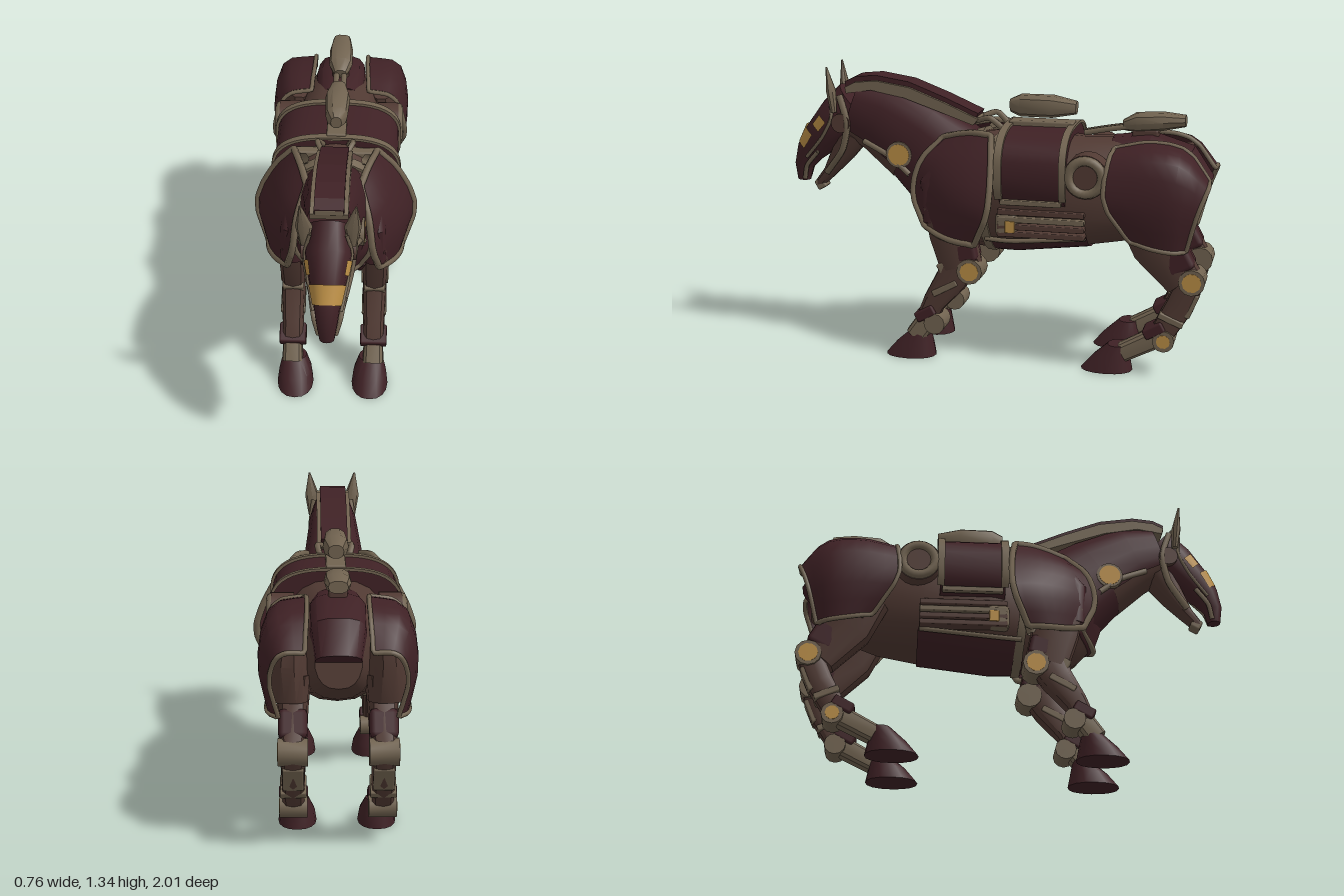
import * as THREE from 'three';
import { toCreasedNormals } from 'three/addons/utils/BufferGeometryUtils.js';
import { RoundedBoxGeometry } from 'three/addons/geometries/RoundedBoxGeometry.js';

const V = (p) => new THREE.Vector3(...p);
function paint(name, color) {
  const m = new THREE.MeshStandardMaterial({ color, side: THREE.DoubleSide });
  m.name = name;
  return m;
}

export function createModel() {
  const horse = new THREE.Group();
  horse.name = 'mechanicalHorse';
  const maroon = paint('darkMaroon', 0x3f2125), tan = paint('dullTan', 0x716350);
  const brown = paint('darkBrown', 0x513a33), gold = paint('gold', 0xb98d45);

  function add(name, geo, mat) {
    const mesh = new THREE.Mesh(geo, mat);
    mesh.name = name;
    horse.add(mesh);
  }
  // Adds a part and its copy across x = 0, with corner order reversed
  function pair(name, geo, mat) {
    add(name + 'Left', geo, mat);
    const g = (geo.index ? geo.toNonIndexed() : geo.clone()).scale(-1, 1, 1);
    for (const key of ['position', 'normal']) {
      const a = g.attributes[key].array;
      for (let i = 0; i < a.length; i += 9)
        for (let k = 3; k < 6; k++) [a[i + k], a[i + k + 3]] = [a[i + k + 3], a[i + k]];
    }
    add(name + 'Right', g, mat);
  }
  function fromTriangles(pts) {
    const g = new THREE.BufferGeometry();
    g.setAttribute('position', new THREE.Float32BufferAttribute(pts.flatMap((p) => [p.x, p.y, p.z]), 3));
    g.computeVertexNormals();
    return toCreasedNormals(g, 0.6);
  }
  // Skins superellipse sections [x, y, z, halfWidth, halfDepth] along a path
  function loft(rings, { sides = 14, power = 2.5, from = 0, to = 2, axis = null } = {}) {
    const X = V([1, 0, 0]), tris = [], whole = to - from === 2;
    const pw = (v) => Math.sign(v) * Math.abs(v) ** (2 / power);
    const loops = rings.map((r, i) => {
      const a = rings[Math.max(0, i - 1)], b = rings[Math.min(rings.length - 1, i + 1)];
      const T = axis ? V(axis) : V([0, b[1] - a[1], b[2] - a[2]]).normalize();
      const N = T.clone().cross(X);
      return Array.from({ length: sides + 1 }, (_, j) => {
        const t = Math.PI * (from + (to - from) * j / sides);
        return V(r.slice(0, 3)).addScaledVector(X, r[3] * pw(Math.cos(t))).addScaledVector(N, r[4] * pw(Math.sin(t)));
      });
    });
    for (let i = 0; i + 1 < loops.length; i++)
      for (let j = 0; j < sides; j++) {
        const [a, b, c, d] = [loops[i][j], loops[i][j + 1], loops[i + 1][j + 1], loops[i + 1][j]];
        tris.push(a, b, c, a, c, d);
      }
    if (whole) {
      const n = rings.length - 1, c0 = V(rings[0].slice(0, 3)), c1 = V(rings[n].slice(0, 3));
      for (let j = 0; j < sides; j++)
        tris.push(c0, loops[0][j + 1], loops[0][j], c1, loops[n][j], loops[n][j + 1]);
    }
    return fromTriangles(tris);
  }
  // Curved armour plate through rows of points, plus its border
  function panel(rows, n = 8) {
    const curves = rows.map((r) => new THREE.CatmullRomCurve3(r.map(V)));
    const grid = Array.from({ length: n + 1 }, (_, i) => {
      const c = new THREE.CatmullRomCurve3(curves.map((k) => k.getPoint(i / n)));
      return c.getPoints(n);
    });
    const tris = [], border = [];
    for (let i = 0; i < n; i++)
      for (let j = 0; j < n; j++) {
        const [a, b, c, d] = [grid[i][j], grid[i][j + 1], grid[i + 1][j + 1], grid[i + 1][j]];
        tris.push(a, b, c, a, c, d);
      }
    for (let i = 0; i < n; i++) border.push(grid[i][0]);
    for (let i = 0; i < n; i++) border.push(grid[n][i]);
    for (let i = n; i > 0; i--) border.push(grid[i][n]);
    for (let i = n; i > 0; i--) border.push(grid[0][i]);
    return { plate: fromTriangles(tris), border };
  }
  const tube = (pts, r, closed = false) =>
    new THREE.TubeGeometry(new THREE.CatmullRomCurve3(pts, closed, 'catmullrom', 0.3), pts.length * 4, r, 6, closed);
  const box = (s, p, tilt = 0) => new RoundedBoxGeometry(...s, 1, Math.min(...s) * 0.2).rotateX(tilt).translate(...p);
  const disc = (r, w, p, sides = 16) => toCreasedNormals(new THREE.CylinderGeometry(r, r, w, sides).rotateZ(-Math.PI / 2), 0.6).translate(...p);
  // Side outline of [z, y] points, extruded across x
  function slab(outline, width) {
    const shape = new THREE.Shape(outline.map((p) => new THREE.Vector2(...p)));
    return new THREE.ExtrudeGeometry(shape, { depth: width, bevelEnabled: false }).translate(0, 0, -width / 2).rotateY(-Math.PI / 2);
  }

  // Body core and belly
  const core = [[0, .75, .36, .08, .1], [0, .75, .27, .14, .18], [0, .78, .12, .19, .27], [0, .79, -.1, .23, .28],
    [0, .8, -.42, .23, .25], [0, .82, -.6, .2, .24], [0, .85, -.8, .15, .2], [0, .87, -.92, .1, .14]];
  add('body', loft(core, { sides: 20 }), brown);
  add('bellyPlate', loft([[0, .79, .04, .212, .288], [0, .79, -.1, .238, .288], [0, .8, -.44, .238, .256]], { from: .22, to: .78 }), maroon);
  pair('bellyTrim', tube([V([.175, .585, .03]), V([.197, .585, -.1]), V([.197, .615, -.44])], .012), tan);
  add('bellyBand', loft([[0, .78, .07, .215, .285], [0, .785, .03, .222, .292]], { sides: 20 }), tan);

  // Breast plates with trims
  const breast = panel([[[-.15, .92, .33], [0, .9, .43], [.15, .92, .33]], [[-.17, .77, .34], [0, .77, .43], [.17, .77, .34]],
    [[-.12, .66, .32], [0, .61, .38], [.12, .66, .32]]]);
  add('breastPlate', breast.plate, maroon);
  add('breastTrim', tube(breast.border, .014, true), tan);
  const keel = panel([[[-.14, .65, .3], [0, .61, .36], [.14, .65, .3]], [[-.12, .57, .24], [0, .54, .29], [.12, .57, .24]],
    [[-.11, .52, .12], [0, .49, .15], [.11, .52, .12]]]);
  add('chestKeel', keel.plate, brown);
  add('keelTrim', tube(keel.border, .01, true), maroon);

  // Flared shoulder armour
  const shoulder = panel([[[.12, 1.04, .24], [.145, 1.065, .15], [.17, 1.075, .07], [.19, 1.07, 0]],
    [[.16, .93, .34], [.22, .95, .23], [.26, .96, .1], [.28, .96, -.02]],
    [[.18, .78, .37], [.28, .78, .23], [.34, .77, .09], [.365, .75, -.02]],
    [[.21, .64, .31], [.26, .61, .23], [.3, .595, .14], [.315, .59, .05]]]);
  pair('shoulderPlate', shoulder.plate, maroon);
  pair('shoulderTrim', tube(shoulder.border, .016, true), tan);
  pair('shoulderBlock', loft([[.18, .92, .22, .04, .05], [.19, .84, .26, .05, .07], [.19, .66, .25, .055, .07]]), maroon);
  pair('shoulderStrut', tube([V([.14, 1.06, .06]), V([.2, .98, .02]), V([.24, .78, .03]), V([.21, .6, .08])], .028), tan);
  pair('shoulderHinge', box([.1, .1, .1], [.19, .6, .21], .5), tan);

  // Neck, crest and throat
  const neck = [[0, .86, .22, .165, .24], [0, 1.0, .4, .138, .2], [0, 1.1, .57, .118, .165], [0, 1.14, .7, .1, .13]];
  add('neck', loft(neck, { sides: 18 }), maroon);
  add('throat', loft(neck.slice(1).map(([x, y, z, w, d]) => [x, y, z, w + .006, d + .006]), { from: 1.2, to: 1.8 }), brown);
  const crest = [[.73, 1.27], [.68, 1.295], [.58, 1.305], [.42, 1.28], [.25, 1.215], [.09, 1.145]];
  const under = [[.11, 1.1], [.28, 1.16], [.44, 1.215], [.6, 1.245], [.72, 1.225]];
  add('crest', slab([...crest, ...under], .125), maroon);
  add('crestTrim', slab([...crest.map(([z, y]) => [z - .004, y - .024]), ...under.map(([z, y]) => [z, y - .008])], .16), tan);
  pair('neckLowerTrim', tube([V([.1, 1.0, .63]), V([.125, .94, .5]), V([.14, .86, .4])], .014), tan);
  pair('neckDiscRim', disc(.062, .05, [.118, .95, .45]), tan);
  pair('neckDisc', disc(.05, .052, [.119, .95, .45]), gold);

  // Head, jaw and ears
  add('head', loft([[0, 1.16, .69, .085, .12], [0, 1.08, .78, .1, .112], [0, .99, .87, .075, .09], [0, .92, .93, .055, .068],
    [0, .85, .962, .043, .045], [0, .78, .965, .032, .03]], { sides: 16, power: 2.2 }), maroon);
  add('noseBand', loft([[0, .99, .868, .082, .097], [0, .925, .922, .064, .076]], { from: .1, to: .9, power: 2.2 }), gold);
  pair('eye', loft([[0, 1.06, .8, .102, .112], [0, 1.015, .843, .09, .103]], { from: .06, to: .22, power: 2.2 }), gold);
  add('jaw', loft([[0, 1.02, .71, .085, .08], [0, .92, .765, .068, .055], [0, .82, .835, .048, .03], [0, .76, .89, .035, .022]]), brown);
  add('chin', box([.07, .05, .05], [0, .765, .875], .5), tan);
  pair('cheekTrim', tube([V([.09, 1.21, .75]), V([.105, 1.08, .71]), V([.09, .95, .74]), V([.055, .83, .83])], .016), tan);
  pair('browTrim', tube([V([.075, 1.2, .8]), V([.098, 1.1, .79]), V([.083, 1.0, .845]), V([.058, .9, .93])], .008), tan);
  pair('lipTrim', tube([V([.07, .93, .87]), V([.055, .86, .93]), V([.035, .79, .95])], .011), tan);
  pair('cheekDisc', disc(.045, .03, [.1, 1.08, .74]), brown);
  pair('ear', loft([[.1, 1.13, .775, .018, .015], [.1, 1.23, .785, .036, .022], [.114, 1.343, .8, .004, .004]], { sides: 8, power: 2, axis: [0, 1, 0] }), tan);
  add('poll', box([.12, .03, .04], [0, 1.255, .71]), tan);

  // Saddle with frame, pack and handles
  const hoop = (z, grow) => [0, .91, z, .288 + grow, .185 + grow];
  const rim = (z0, z1) => loft([hoop(z0, 0), hoop(z0, .012), hoop(z1, .012), hoop(z1, 0)],
    { from: .85, to: 2.15, sides: 28, power: 2.8, axis: [0, 0, -1] });
  add('saddle', loft([hoop(-.05, 0), hoop(-.35, 0)], { sides: 28, power: 2.8 }), maroon);
  add('saddleFrontRim', rim(-.035, -.07), tan);
  add('saddleRearRim', rim(-.33, -.362), tan);
  pair('saddleLowerRim', box([.03, .024, .28], [.265, .785, -.2]), tan);
  add('saddleSpine', box([.09, .045, .3], [0, 1.095, -.2]), tan);
  add('saddlePack', loft([[0, 1.18, -.05, .025, .03], [0, 1.182, -.1, .05, .052], [0, 1.182, -.25, .058, .052], [0, 1.18, -.36, .035, .03]], { sides: 10 }), tan);
  pair('saddleHandle', tube([V([.06, 1.07, -.04]), V([.08, 1.13, .03]), V([.05, 1.11, .1])], .014), tan);
  add('witherBridge', box([.4, .05, .05], [0, 1.03, -.02]), tan);

  // Side grilles beneath the saddle
  for (let i = 0; i < 4; i++) pair('grilleBar', box([.1, .026, .4], [.2, .63 + i * .034, -.24]), i === 2 ? tan : brown);
  pair('grilleEnd', box([.11, .11, .1], [.195, .67, -.08]), tan);
  pair('grilleLamp', box([.02, .055, .045], [.245, .665, -.1]), gold);

  // Flank turbines
  pair('flankHousing', disc(.1, .1, [.235, .92, -.45], 20), brown);
  pair('flankRing', new THREE.TorusGeometry(.075, .022, 8, 24).rotateY(Math.PI / 2).translate(.285, .92, -.45), tan);
  pair('flankHub', disc(.055, .02, [.28, .92, -.45], 16), brown);

  // Rump and its side armour
  add('rump', loft([[0, .96, -.54, .11, .1], [0, .97, -.7, .125, .11], [0, .93, -.84, .12, .11], [0, .83, -.91, .1, .1]], { power: 3 }), maroon);
  const haunch = panel([[[.14, 1.03, -.56], [.13, 1.06, -.72], [.13, 1.03, -.88], [.14, .9, -.985]],
    [[.26, 1.0, -.55], [.28, 1.025, -.72], [.28, 1.0, -.88], [.24, .89, -.99]],
    [[.32, .82, -.54], [.335, .83, -.72], [.33, .81, -.86], [.285, .78, -.95]],
    [[.28, .64, -.65], [.3, .615, -.75], [.29, .6, -.85], [.25, .6, -.9]]]);
  pair('haunchPlate', haunch.plate, maroon);
  pair('haunchTrim', tube(haunch.border, .011, true), tan);
  pair('haunchCore', loft([[.2, .98, -.74, .07, .15], [.21, .8, -.76, .09, .17], [.2, .64, -.78, .08, .12]]), brown);

  // Tail launcher
  add('launcherBody', loft([[0, 1.11, -.58, .03, .025], [0, 1.125, -.64, .056, .045], [0, 1.135, -.76, .056, .042], [0, 1.14, -.86, .042, .026]], { sides: 10 }), tan);
  pair('launcherRail', tube([V([.018, 1.07, -.4]), V([.018, 1.09, -.5]), V([.018, 1.11, -.62])], .014), tan);
  add('launcherMount', box([.08, .06, .12], [0, 1.07, -.68]), brown);

  // Legs: shared joints and hoof, with separate limb paths front and rear
  function leg(name, o) {
    const x = .19;
    const limb = (rows) => loft(rows.map(([y, z, w, d]) => [x, y, z, w, d]), { power: 3.2, sides: 12 });
    pair(name + 'Upper', limb(o.upper), brown);
    pair(name + 'Lower', limb(o.lower), brown);
    pair(name + 'Pastern', limb(o.pastern), tan);
    pair(name + 'Knee', disc(.06, .125, [x, ...o.knee], 12), tan);
    pair(name + 'KneeDisc', disc(.044, .004, [x + .0625, ...o.knee], 10), gold);
    pair(name + 'Fetlock', disc(.05, .12, [x, ...o.fetlock], 12), tan);
    pair(name + 'Guard', box(o.guard[0], [x, ...o.guard[1]], o.guard[2]), maroon);
    pair(name + 'Cap', box(o.cap[0], [x, ...o.cap[1]], o.cap[2]), tan);
    pair(name + 'ShinBand', box(o.band[0], [x, ...o.band[1]], o.band[2]), tan);
    pair(name + 'Cuff', box([.125, .05, .1], [x, o.fetlock[0] + .045, o.fetlock[1] + .045], .5), maroon);
    pair(name + 'Hoof', loft([[.176, 0, o.hoof, .085, .12], [.176, .06, o.hoof - .02, .077, .088],
      [.18, .125, o.hoof - .05, .056, .045]], { axis: [0, 1, 0], power: 2.2, sides: 16 }), maroon);
  }
  leg('foreleg', {
    upper: [[.74, .2, .06, .12], [.6, .18, .063, .11], [.45, .14, .056, .1]],
    lower: [[.5, .13, .055, .1], [.38, .19, .055, .075], [.27, .27, .05, .055], [.18, .31, .05, .05]],
    pastern: [[.2, .29, .045, .05], [.1, .36, .05, .05]],
    knee: [.44, .09], fetlock: [.175, .26], hoof: .39,
    guard: [[.118, .1, .1], [.53, .11], .2], cap: [[.1, .09, .05], [.43, .21], .5],
    band: [[.115, .03, .13], [.35, .21], .5],
  });
  leg('hindLeg', {
    upper: [[.74, -.74, .08, .16], [.6, -.77, .066, .12], [.45, -.89, .056, .09]],
    lower: [[.47, -.93, .055, .06], [.33, -.875, .05, .065], [.18, -.79, .05, .055]],
    pastern: [[.18, -.79, .045, .05], [.09, -.62, .045, .045]],
    knee: [.455, -.93], fetlock: [.17, -.81], hoof: -.545,
    guard: [[.122, .13, .13], [.55, -.86], .5], cap: [[.09, .12, .04], [.34, -.925], -.4],
    band: [[.112, .03, .12], [.27, -.84], -.4],
  });
  pair('hindFetlockDisc', disc(.032, .004, [.25, .17, -.81], 10), gold);
  return horse;
}
